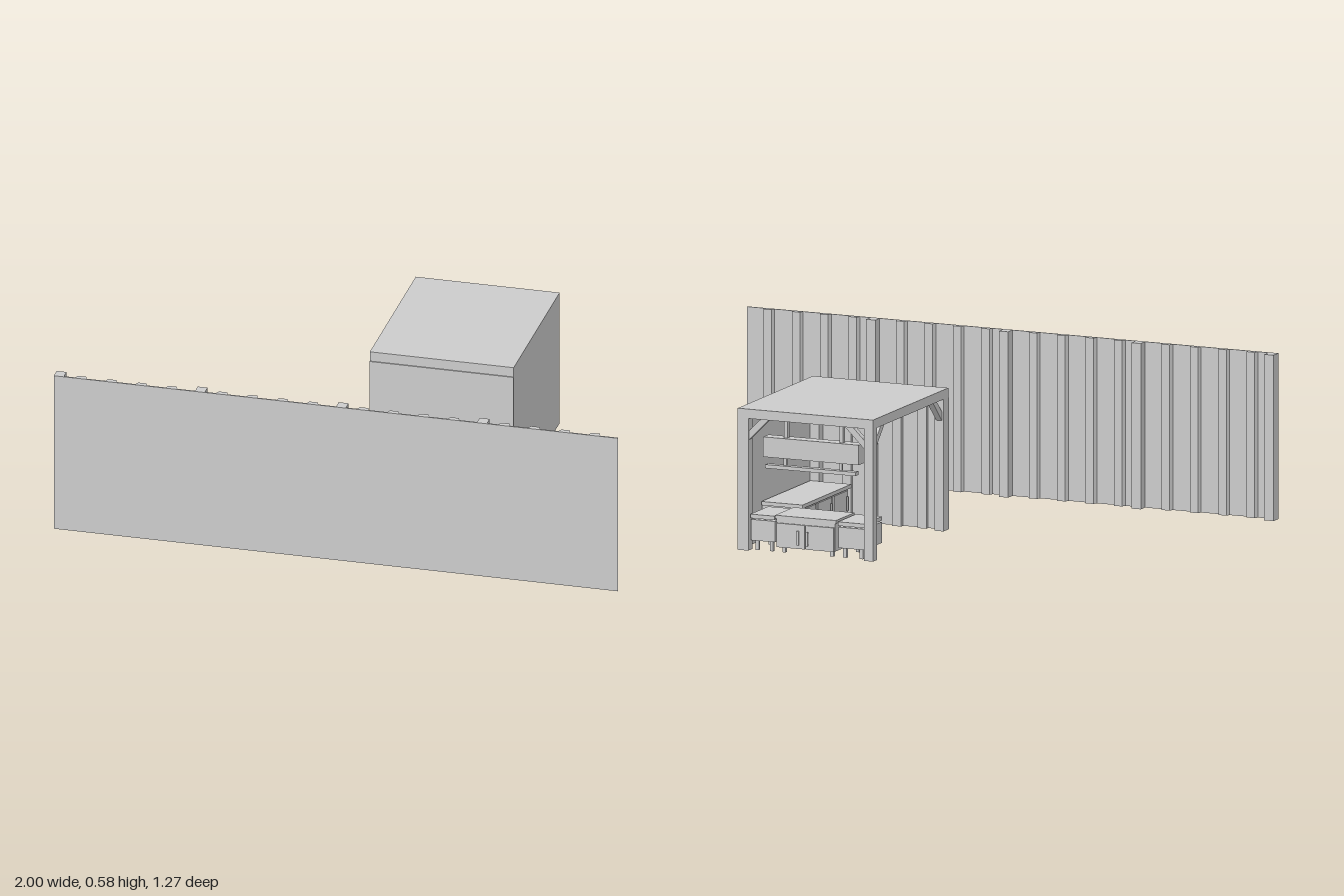
import * as THREE from 'three';

const mat = new THREE.MeshStandardMaterial({ color: 0xcccccc, flatShading: true, side: THREE.DoubleSide });

// Box given by its minimum and maximum corners
function box(parent, name, x0, x1, y0, y1, z0, z1) {
  const m = new THREE.Mesh(new THREE.BoxGeometry(x1 - x0, y1 - y0, z1 - z0), mat);
  m.position.set((x0 + x1) / 2, (y0 + y1) / 2, (z0 + z1) / 2);
  m.name = name;
  parent.add(m);
  return m;
}

function group(parent, name) {
  const g = new THREE.Group();
  g.name = name;
  parent.add(g);
  return g;
}

// Diagonal strut between a post and a beam: runs from (0,-s) to (s,0)
function brace(parent, x, y, z, angle, s = 0.075, w = 0.022, d = 0.022) {
  const shape = new THREE.Shape([
    [0, -s], [s, 0], [s - w * 1.4, 0], [0, -s + w * 1.4],
  ].map(([a, b]) => new THREE.Vector2(a, b)));
  const geo = new THREE.ExtrudeGeometry(shape, { depth: d, bevelEnabled: false });
  geo.translate(0, 0, -d / 2);
  const m = new THREE.Mesh(geo, mat);
  m.position.set(x, y, z);
  m.rotation.y = angle;
  m.name = 'cornerBrace';
  parent.add(m);
}

// Long panel with stout posts and small tapered ribs behind it
function buildFence(root) {
  const g = group(root, 'fence');
  const H = 0.58;
  box(g, 'fencePanel', -1, 1, 0, H, 0.63, 0.635);
  const rib = new THREE.Shape([
    [-0.021, 0], [0.021, 0], [0.015, 0.016], [-0.015, 0.016],
  ].map(([a, b]) => new THREE.Vector2(a, b)));
  const ribGeo = new THREE.ExtrudeGeometry(rib, { depth: H, bevelEnabled: false });
  ribGeo.rotateX(-Math.PI / 2);
  for (let bay = 0; bay < 4; bay++) {
    const x = -1 + bay * 0.5;
    box(g, 'fencePost', x, x + 0.035, 0, H, 0.595, 0.631);
    for (let i = 0; i < 4; i++) {
      const m = new THREE.Mesh(ribGeo, mat);
      m.position.set(x + 0.095 + i * 0.107, 0, 0.631);
      m.name = 'fenceRib';
      g.add(m);
    }
  }
}

// Shelter: roof, two closed walls, two open sides with posts and braces
const X0 = -0.045, X1 = 0.465, Z0 = -0.625, Z1 = 0, H = 0.495, P = 0.034, BEAM = 0.462;

function buildShelter(root) {
  const g = group(root, 'shelter');
  box(g, 'roof', X0, X1, H - 0.008, H, Z0, Z1);
  box(g, 'sideWall', X1 - 0.006, X1, 0, H - 0.008, Z0, Z1);
  box(g, 'frontWall', X0, X1 - 0.006, 0, H - 0.008, -0.006, Z1);
  box(g, 'frontTrim', X0, X1, 0, 0.46, Z1, Z1 + 0.004);
  for (const x of [X0, X1 - 0.006 - P])
    for (const z of [Z0, -0.006 - P]) box(g, 'post', x, x + P, 0, BEAM, z, z + P);
  for (const z of [Z0, -0.006 - P]) box(g, 'crossBeam', X0, X1 - 0.006, BEAM, H - 0.008, z, z + P);
  for (const x of [X0, X1 - 0.006 - P]) box(g, 'sideBeam', x, x + P, BEAM, H - 0.008, Z0 + P, -0.006 - P);
  // ribs inside the front wall
  for (let i = 0; i < 4; i++) {
    const x = X0 + 0.09 + i * 0.095;
    box(g, 'wallRib', x - 0.017, x + 0.017, 0, BEAM, -0.021, -0.006);
  }
  // braces at the corners of the open sides
  brace(g, X0 + P, BEAM, Z0 + P / 2, 0);
  brace(g, X1 - 0.006 - P, BEAM, Z0 + P / 2, Math.PI);
  brace(g, X0 + P / 2, BEAM, Z0 + P, -Math.PI / 2);
  brace(g, X0 + P / 2, BEAM, -0.006 - P, Math.PI / 2);
}

// Counter under the back opening, with doors facing -z
function buildCounter(root) {
  const g = group(root, 'counter');
  const zf = -0.622, zb = -0.47;
  box(g, 'centreCabinet', 0.1, 0.32, 0.022, 0.12, zf, zb);
  box(g, 'centreTop', 0.095, 0.325, 0.12, 0.132, zf - 0.002, zb);
  for (const [a, b] of [[-0.008, 0.09], [0.33, 0.42]]) {
    box(g, 'sideCabinet', a, b, 0.035, 0.108, zf + 0.008, zb);
    box(g, 'sideTop', a, b, 0.113, 0.127, zf + 0.004, zb);
    for (const x of [a + 0.012, b - 0.024])
      for (const z of [zf + 0.02, zb - 0.025]) box(g, 'leg', x, x + 0.012, 0, 0.035, z, z + 0.012);
  }
  for (const [a, b, h] of [[0.102, 0.208, 0.2], [0.212, 0.318, 0.235]]) {
    box(g, 'door', a, b, 0.022, 0.106, zf - 0.006, zf);
    box(g, 'handle', h - 0.004, h + 0.004, 0.035, 0.085, zf - 0.014, zf - 0.01);
    for (const y of [0.037, 0.079]) box(g, 'handleMount', h - 0.003, h + 0.003, y, y + 0.004, zf - 0.011, zf - 0.005);
  }
  for (const x of [0.115, 0.295]) box(g, 'leg', x, x + 0.012, 0, 0.022, zf + 0.02, zf + 0.032);
}

// Long board hung from the roof with a slim bar below it
function buildHanger(root) {
  const g = group(root, 'hangingUnit');
  box(g, 'hangingBoard', 0.025, 0.385, 0.325, 0.395, -0.59, -0.545);
  box(g, 'lowerBar', 0.035, 0.375, 0.287, 0.3, -0.595, -0.57);
  for (const x of [0.09, 0.3]) {
    box(g, 'roofHanger', x, x + 0.014, 0.395, H - 0.008, -0.575, -0.56);
    box(g, 'barHanger', x, x + 0.01, 0.29, 0.325, -0.585, -0.575);
  }
}

// Bench along the closed side wall
function buildBench(root) {
  const g = group(root, 'sideBench');
  const x0 = 0.3, x1 = 0.455;
  box(g, 'benchTop', x0, x1, 0.125, 0.138, -0.45, -0.045);
  for (let i = 0; i < 3; i++) {
    const z = -0.445 + i * 0.134;
    box(g, 'benchCabinet', x0 + 0.012, x1, 0.03, 0.125, z, z + 0.126);
    box(g, 'benchDoor', x0 + 0.007, x0 + 0.012, 0.036, 0.118, z + 0.006, z + 0.12);
    box(g, 'benchHandle', x0 - 0.002, x0 + 0.003, 0.05, 0.1, z + 0.1, z + 0.106);
    for (const x of [x0 + 0.02, x1 - 0.03])
      for (const dz of [0.01, 0.1]) box(g, 'leg', x, x + 0.012, 0, 0.03, z + dz, z + dz + 0.012);
  }
}

export function createModel() {
  const root = new THREE.Group();
  root.name = 'shelterAndFence';
  buildFence(root);
  buildShelter(root);
  buildCounter(root);
  buildHanger(root);
  buildBench(root);
  return root;
}
